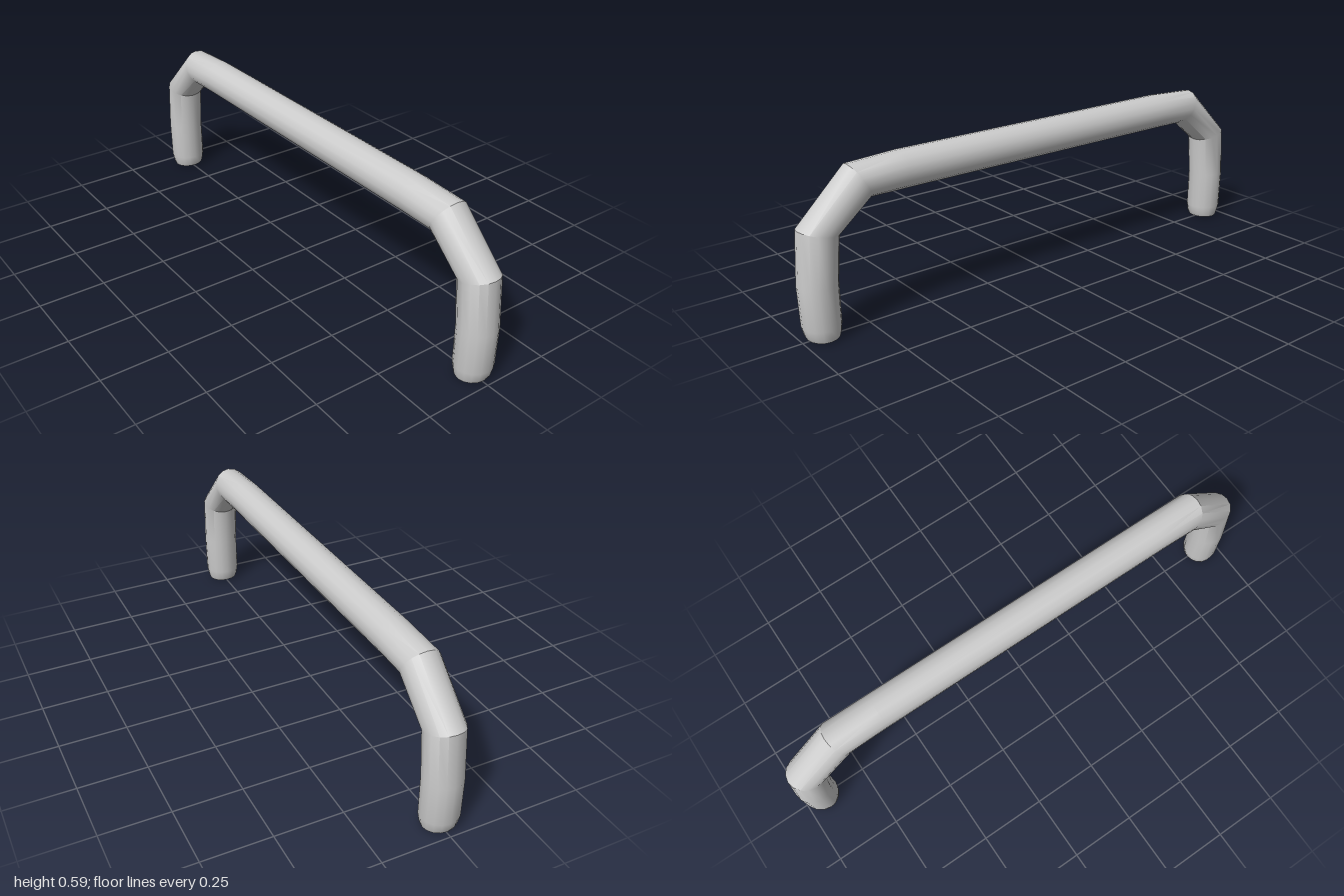
import * as THREE from 'three';
import { toCreasedNormals } from 'three/addons/utils/BufferGeometryUtils.js';

const SIDES = 16;

// Cross-sections of one half, from foot to top: outer x, y, inner x, y, depth radius
const half = [
  [0.925, 0.0, 0.925, 0.0, 0],
  [0.98, 0.005, 0.87, 0.005, 0.06],
  [0.987, 0.018, 0.864, 0.018, 0.064],
  [0.995, 0.05, 0.86, 0.05, 0.07],
  [1.0, 0.2, 0.86, 0.2, 0.07],
  [0.986, 0.395, 0.845, 0.36, 0.07],
  [0.797, 0.582, 0.725, 0.457, 0.07],
  [0.6, 0.593, 0.6, 0.457, 0.068],
];

// Skins a closed tube through the rings
function loft(rings) {
  const positions = [];
  const index = [];
  rings.forEach(([ox, oy, ix, iy, r], i) => {
    for (let j = 0; j < SIDES; j++) {
      const a = (j / SIDES) * Math.PI * 2;
      const c = Math.cos(a) / 2;
      positions.push(
        (ox + ix) / 2 + c * (ox - ix),
        (oy + iy) / 2 + c * (oy - iy),
        r * Math.sin(a)
      );
      if (i === rings.length - 1) continue;
      const k = (j + 1) % SIDES;
      const p = i * SIDES + j, q = i * SIDES + k;
      if (rings[i + 1][4] > 0) index.push(p, p + SIDES, q + SIDES);
      if (r > 0) index.push(p, q + SIDES, q);
    }
  });
  const geometry = new THREE.BufferGeometry();
  geometry.setAttribute('position', new THREE.Float32BufferAttribute(positions, 3));
  geometry.setIndex(index);
  return toCreasedNormals(geometry, 0.6);
}

export function createModel() {
  const group = new THREE.Group();
  group.name = 'handle';

  // Mirror the half profile to run from the left foot over to the right foot
  const mirrored = half.map(([ox, oy, ix, iy, r]) => [-ox, oy, -ix, iy, r]).reverse();
  const bar = new THREE.Mesh(
    loft([...half, ...mirrored]),
    new THREE.MeshStandardMaterial({ color: 0xcccccc })
  );
  bar.name = 'bentBar';
  group.add(bar);
  return group;
}
